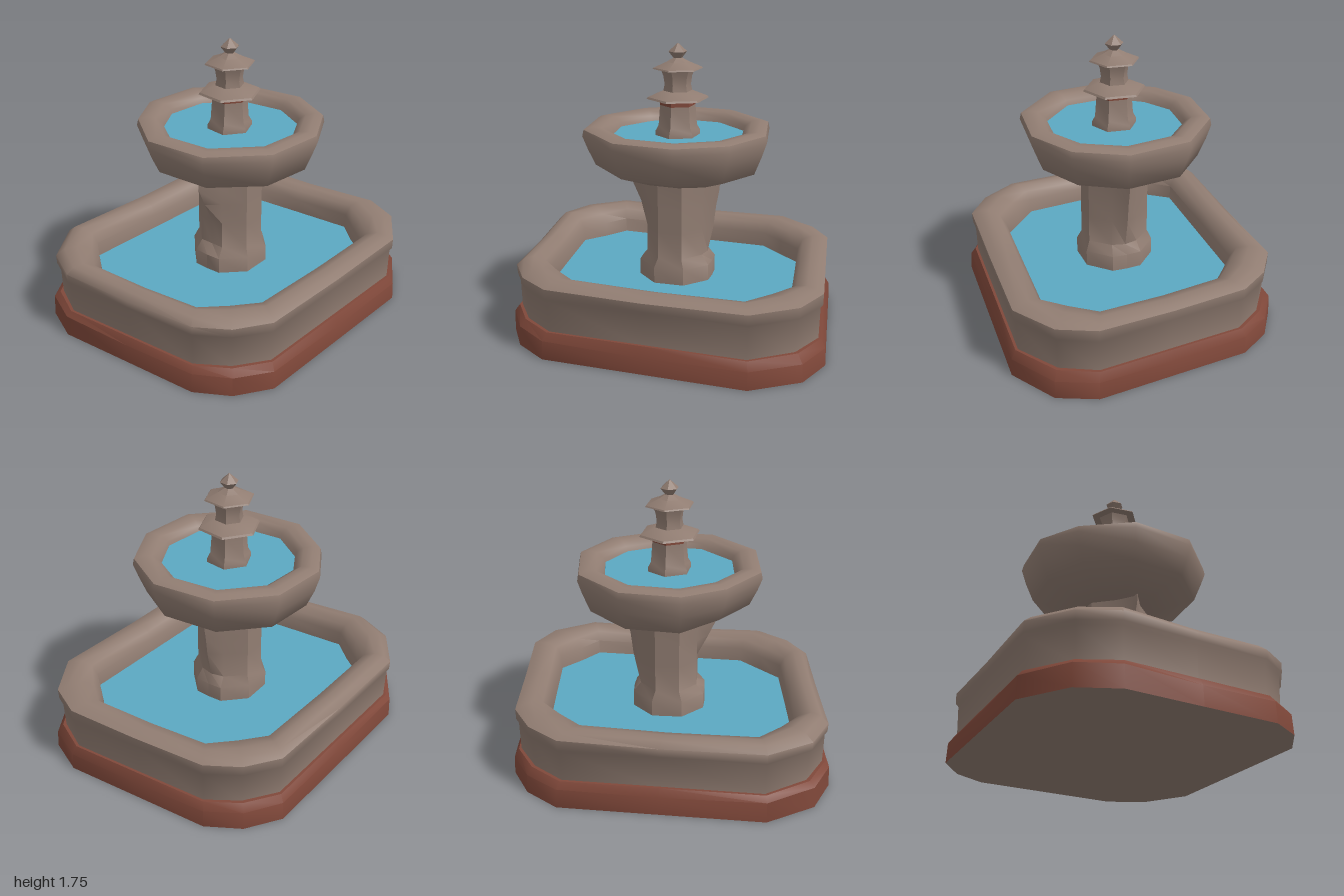
import * as THREE from 'three';
import { toCreasedNormals } from 'three/addons/utils/BufferGeometryUtils.js';

const mat = (name, color) => {
  const m = new THREE.MeshStandardMaterial({ color });
  m.name = name;
  return m;
};

// Skin a stack of rings; each ring is a list of [x, y, z], clockwise from above.
function loft(rings, capBottom, capTop, crease = 0.65) {
  const n = rings[0].length;
  const pos = rings.flat(2);
  const idx = [];
  for (let j = 0; j < rings.length - 1; j++) {
    for (let i = 0; i < n; i++) {
      const a = j * n + i, b = j * n + (i + 1) % n;
      idx.push(a, a + n, b + n, a, b + n, b);
    }
  }
  const cap = (j, up) => {
    const c = pos.length / 3;
    const mid = [0, 1, 2].map(k => rings[j].reduce((s, p) => s + p[k], 0) / n);
    pos.push(...mid);
    for (let i = 0; i < n; i++) {
      const a = j * n + i, b = j * n + (i + 1) % n;
      if (up) idx.push(c, b, a);
      else idx.push(c, a, b);
    }
  };
  if (capBottom) cap(0, false);
  if (capTop) cap(rings.length - 1, true);
  const g = new THREE.BufferGeometry();
  g.setAttribute('position', new THREE.Float32BufferAttribute(pos, 3));
  g.setIndex(idx);
  return toCreasedNormals(g, crease);
}

// Small repeatable unevenness for the hand-hewn stone
const wobble = (i, j) => Math.sin(i * 12.9 + j * 7.3);

export function createModel() {
  const stone = mat('stone', 0x917d72);
  const brick = mat('redBrick', 0x80483a);
  const water = mat('water', 0x5ba8c2);
  const model = new THREE.Group();
  model.name = 'fountain';
  const add = (name, geometry, material) => {
    const m = new THREE.Mesh(geometry, material);
    m.name = name;
    model.add(m);
  };

  // Skewed, chamfered basin outlines: half a loop, then its point reflection
  const whole = half => [...half, ...half.map(([x, z]) => [-x, -z])];
  const outer = whole([[-0.62, -0.87], [0, -0.845], [0.6, -0.82], [0.8, -0.68],
    [0.92, -0.48], [0.96, 0], [1.0, 0.47], [0.9, 0.7]]);
  const inner = whole([[-0.55, -0.64], [-0.05, -0.615], [0.45, -0.59], [0.58, -0.47],
    [0.71, -0.35], [0.74, 0], [0.77, 0.38], [0.65, 0.51]]);
  // t runs from the outer outline (0) to the pool edge (1)
  const basinRing = (t, y, rough = 0) => outer.map(([x, z], i) => [
    x + (inner[i][0] - x) * t,
    y + rough * wobble(i, y * 10) + (rough && i % 4 === 1 ? -0.01 : 0),
    z + (inner[i][1] - z) * t]);

  // Base course and the underside
  add('baseCourse', loft([basinRing(0, 0), basinRing(0.02, 0.12, 0.012),
    basinRing(0.14, 0.16), basinRing(0.24, 0.16)], false, false), brick);
  add('underside', loft([basinRing(0, 0), basinRing(0.02, 0.001)], true, false), stone);

  // Basin wall running up into its rounded, slightly overhanging rim
  add('basinWall', loft([
    basinRing(0.21, 0.15), basinRing(0.19, 0.35), basinRing(0.13, 0.37),
    basinRing(0.12, 0.43, 0.008), basinRing(0.3, 0.458, 0.008),
    basinRing(0.55, 0.466, 0.007), basinRing(0.83, 0.44, 0.006),
    basinRing(0.97, 0.38), basinRing(1, 0.28),
  ], false, false, 1), stone);
  add('poolWater', loft([basinRing(1, 0.289), basinRing(0.999, 0.29)], false, true), water);

  // Octagonal pedestal on a foot, with a ridge on either side that leans out under the bowl.
  // Rows: height, half width, half depth, left ridge, right ridge
  const pillar = [[0.27, 0.22, 0.22, 0.225, 0.225], [0.39, 0.22, 0.22, 0.225, 0.225],
    [0.45, 0.175, 0.195, 0.175, 0.195], [0.62, 0.175, 0.195, 0.175, 0.23],
    [0.75, 0.175, 0.195, 0.24, 0.245], [0.86, 0.18, 0.195, 0.29, 0.265],
    [0.94, 0.18, 0.2, 0.3, 0.27]];
  add('pedestal', loft(pillar.map(([y, w, d, left, right]) => [
    [right, 0], [w, 0.42 * d], [0.42 * w, d], [-0.42 * w, d], [-w, 0.42 * d],
    [-left, 0], [-w, -0.42 * d], [-0.42 * w, -d], [0.42 * w, -d], [w, -0.42 * d],
  ].map(([x, z]) => [x, y, z])), false, true), stone);

  // Uneven ten-sided upper bowl
  const bowl = [[-0.11, -0.57], [0.25, -0.53], [0.52, -0.27], [0.57, 0.12], [0.41, 0.41],
    [0.12, 0.56], [-0.25, 0.52], [-0.53, 0.24], [-0.56, -0.15], [-0.36, -0.43]];
  const bowlRing = (sx, y, sz = sx, rough = 0) =>
    bowl.map(([x, z], i) => [x * sx, y + rough * wobble(i, y * 10), z * sz]);
  add('upperBowl', loft([
    bowlRing(0.5, 0.91, 0.37), bowlRing(0.87, 1.01, 0.87, 0.018),
    bowlRing(0.95, 1.11, 0.95, 0.015), bowlRing(1, 1.2), bowlRing(0.985, 1.24),
    bowlRing(0.9, 1.255), bowlRing(0.8, 1.248), bowlRing(0.73, 1.22), bowlRing(0.7, 1.17),
  ], true, false, 1), stone);
  add('bowlWater', loft([bowlRing(0.71, 1.189), bowlRing(0.709, 1.19)], false, true), water);

  // Six-sided tiered finial, from [radius, height] pairs
  const tier = (name, profile, material) => add(name, loft(profile.map(([r, y]) =>
    Array.from({ length: 6 }, (_, i) => {
      const a = i * Math.PI / 3 - 0.4;
      return [Math.cos(a) * r, y, Math.sin(a) * r];
    })), true, true, 0.5), material);
  tier('finialTower', [[0.138, 1.17], [0.138, 1.215], [0.118, 1.25], [0.108, 1.375]], stone);
  tier('towerBand', [[0.108, 1.375], [0.106, 1.415]], brick);
  tier('lowerRoof', [[0.1, 1.412], [0.19, 1.414], [0.182, 1.425], [0.09, 1.462]], stone);
  tier('finialNeck', [[0.09, 1.45], [0.08, 1.5], [0.087, 1.55], [0.102, 1.59]], stone);
  tier('upperRoof', [[0.1, 1.588], [0.152, 1.594], [0.146, 1.602], [0.07, 1.635], [0.025, 1.66]], stone);
  tier('finialTip', [[0.02, 1.65], [0.056, 1.697], [0.004, 1.745]], stone);

  return model;
}
